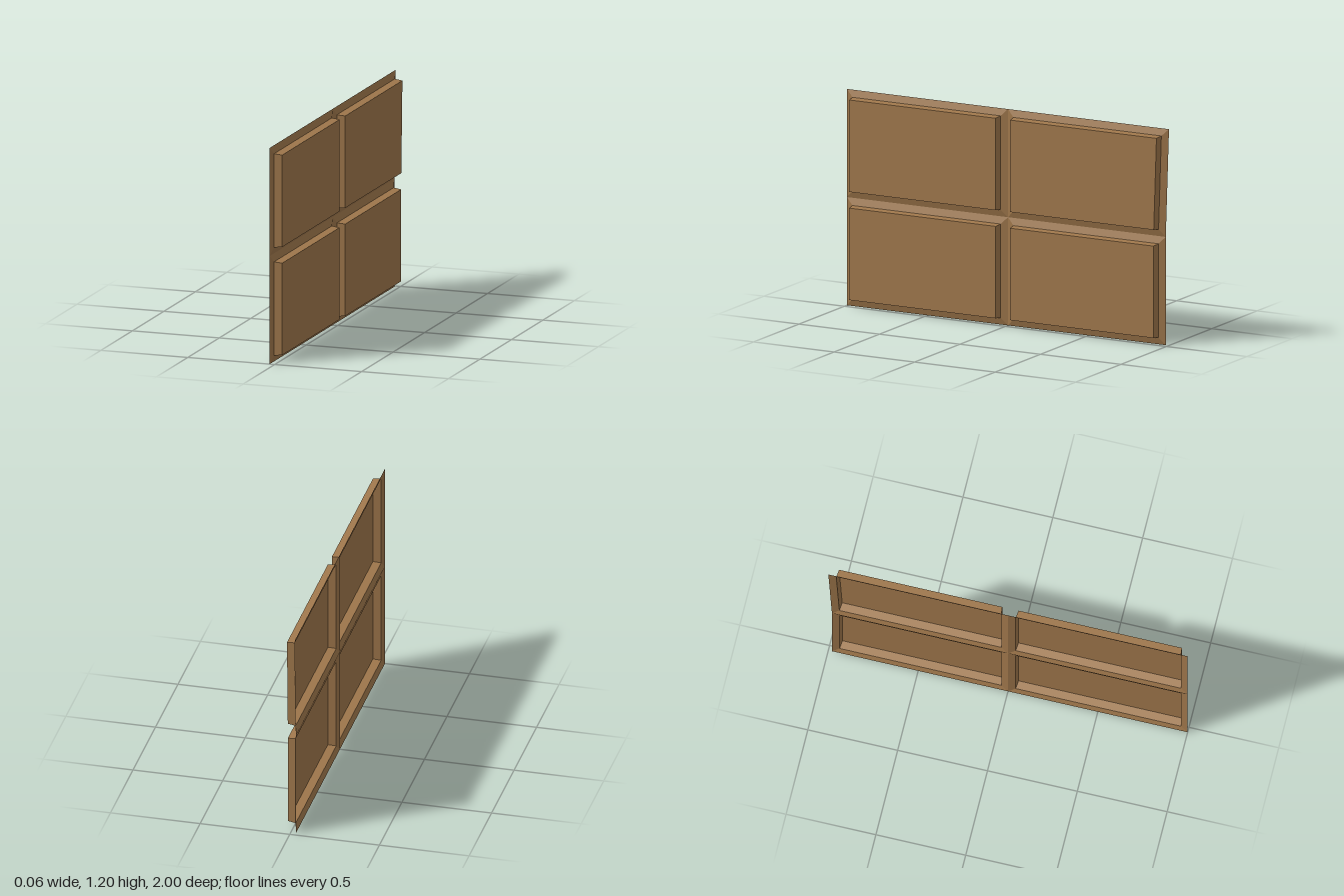
import * as THREE from 'three';

const wood = new THREE.MeshStandardMaterial({ color: 0xa0784c, side: THREE.DoubleSide });
wood.name = 'brown wood';

// Depth profile of a panel: sloped border, steep wall, flat face
const RINGS = [
  { inset: 0, x: -0.029 },
  { inset: 0.04, x: -0.018 },
  { inset: 0.045, x: 0.027 },
];

// Hollow pressed panel between z = zFront and a back edge that may lean
function panel(name, y0, y1, zFront, zBackLow, zBackHigh) {
  const rings = RINGS.map(({ inset: d, x }) => {
    const backAt = (y) => THREE.MathUtils.mapLinear(y, y0, y1, zBackLow, zBackHigh) + d;
    return [
      [x, y0 + d, zFront - d],
      [x, y0 + d, backAt(y0 + d)],
      [x, y1 - d, backAt(y1 - d)],
      [x, y1 - d, zFront - d],
    ];
  });
  const positions = [];
  const quad = (a, b, c, d) => positions.push(...a, ...b, ...c, ...a, ...c, ...d);

  // Border and walls, ring to ring
  for (let r = 0; r < rings.length - 1; r++) {
    for (let i = 0; i < 4; i++) {
      const j = (i + 1) % 4;
      quad(rings[r][i], rings[r][j], rings[r + 1][j], rings[r + 1][i]);
    }
  }
  // Raised face
  quad(...rings[rings.length - 1]);

  const geometry = new THREE.BufferGeometry();
  geometry.setAttribute('position', new THREE.Float32BufferAttribute(positions, 3));
  geometry.computeVertexNormals();
  const mesh = new THREE.Mesh(geometry, wood);
  mesh.name = name;
  return mesh;
}

export function createModel() {
  const group = new THREE.Group();
  group.name = 'panelledWall';

  // Two rows of two; the upper back panel leans outward
  group.add(
    panel('lowerFrontPanel', 0, 0.6, 1, 0, 0),
    panel('lowerBackPanel', 0, 0.6, 0, -0.98, -0.98),
    panel('upperFrontPanel', 0.6, 1.2, 1, 0, 0),
    panel('upperBackPanel', 0.6, 1.2, 0, -0.98, -1),
  );
  return group;
}
